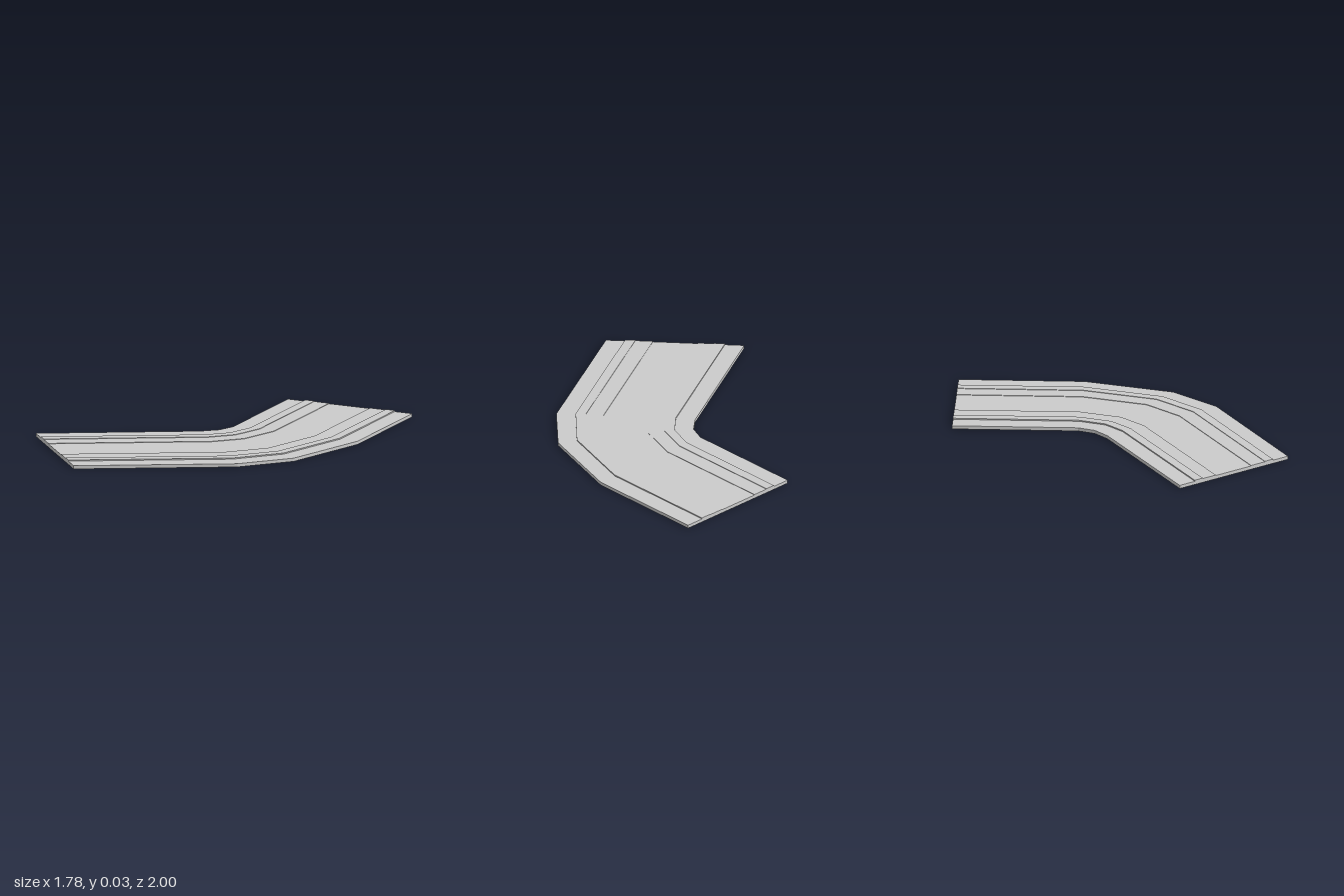
import * as THREE from 'three';

// Stations along the bend: inner edge and outer edge as [x, z]
const stations = [
  [[0.08, -1.0], [0.89, -1.0]],
  [[0.08, -0.26], [0.89, -0.26]],
  [[0.04, -0.16], [0.73, 0.27]],
  [[-0.05, -0.08], [0.49, 0.535]],
  [[-0.895, 0.385], [-0.355, 0.995]],
];

// Strips across the width: name, start and end fraction from the inner edge, height
const strips = [
  ['innerVerge', 0, 0.139, 0.02],
  ['innerKerb', 0.139, 0.213, 0.027],
  ['innerPavement', 0.213, 0.333, 0.024],
  ['road', 0.333, 0.66, 0.021],
  ['outerPavement', 0.66, 0.787, 0.024],
  ['outerKerb', 0.787, 0.861, 0.027],
  ['outerVerge', 0.861, 1, 0.02],
];

// Lofts a rectangular section through all stations, with end caps
function stripGeometry(from, to, height) {
  const rings = stations.map(([inner, outer]) => {
    const at = (f, y) => [
      inner[0] + (outer[0] - inner[0]) * f,
      y,
      inner[1] + (outer[1] - inner[1]) * f,
    ];
    return [at(from, 0), at(to, 0), at(to, height), at(from, height)];
  });
  const positions = [];
  const quad = (a, b, c, d) => positions.push(...a, ...b, ...c, ...a, ...c, ...d);
  for (let i = 0; i < rings.length - 1; i++) {
    for (let j = 0; j < 4; j++) {
      const k = (j + 1) % 4;
      quad(rings[i][j], rings[i][k], rings[i + 1][k], rings[i + 1][j]);
    }
  }
  const [a, b, c, d] = rings[0];
  quad(d, c, b, a);
  quad(...rings[rings.length - 1]);
  const geometry = new THREE.BufferGeometry();
  geometry.setAttribute('position', new THREE.Float32BufferAttribute(positions, 3));
  geometry.computeVertexNormals();
  return geometry;
}

export function createModel() {
  const group = new THREE.Group();
  group.name = 'roadBend';
  const material = new THREE.MeshStandardMaterial({ color: 0xcccccc, flatShading: true });
  for (const [name, from, to, height] of strips) {
    const mesh = new THREE.Mesh(stripGeometry(from, to, height), material);
    mesh.name = name;
    group.add(mesh);
  }
  return group;
}
